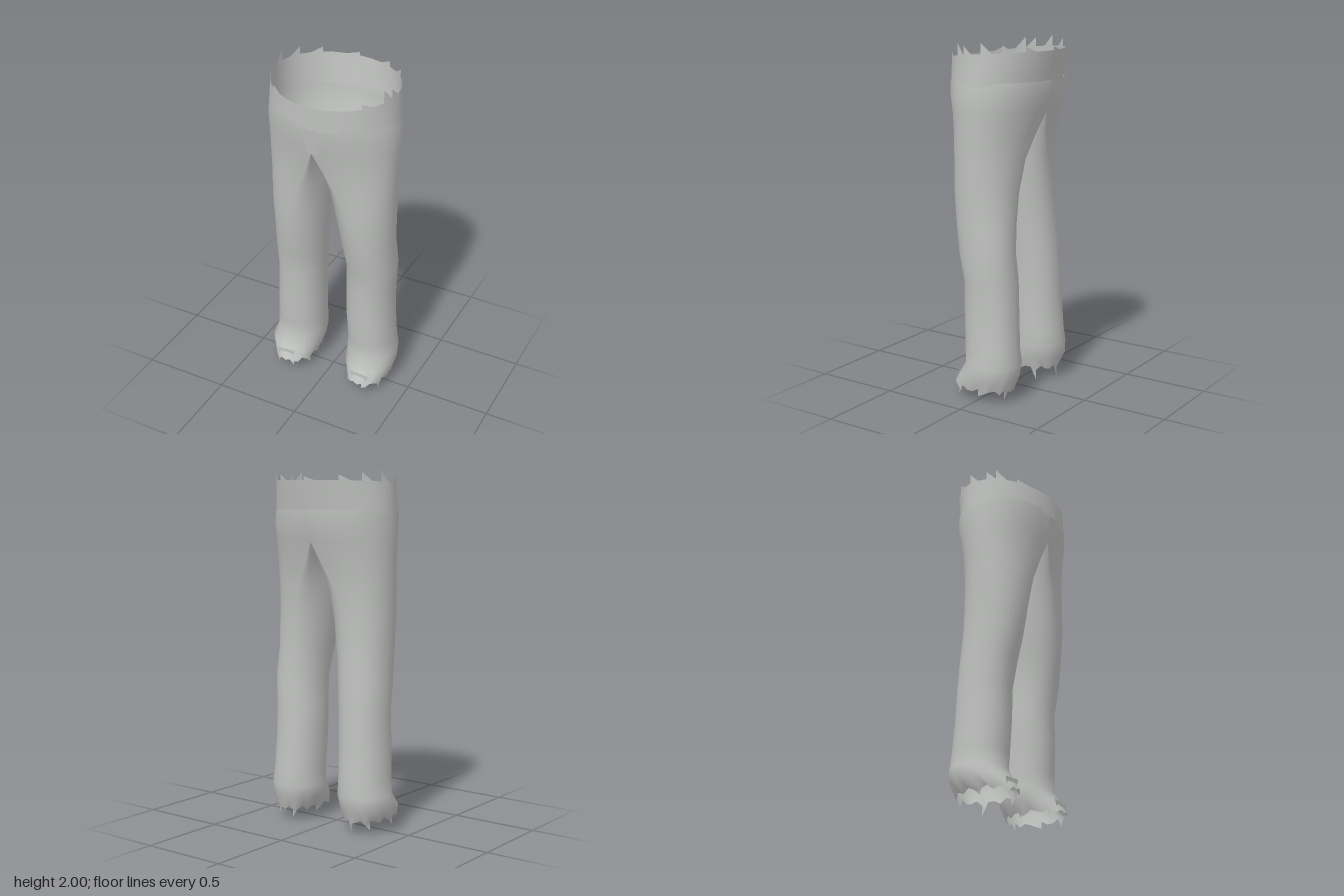
import * as THREE from 'three';

const N = 32; // columns around each ring

// Surface through rings of points, with optional torn teeth along one edge ring
function loft(rings, flip, firstFull = 0, teeth = {}, toothRing = 0, toothDir = 1) {
  const pos = rings.flat().flatMap(p => [p.x, p.y, p.z]);
  const idx = [];
  const tri = (a, b, c) => (flip ? idx.push(a, c, b) : idx.push(a, b, c));
  for (let i = 0; i < rings.length - 1; i++) {
    for (let j = 0; j < N; j++) {
      if (i < firstFull && j >= N / 2) continue; // hips are open toward the other half
      const k = (j + 1) % N;
      const a = i * N + j, b = i * N + k, c = a + N, d = b + N;
      tri(a, c, b);
      tri(b, c, d);
    }
  }
  for (const [key, h] of Object.entries(teeth)) {
    const j = Number(key), a = toothRing * N + j, b = toothRing * N + (j + 1) % N;
    const p = rings[toothRing][j];
    pos.push(p.x, p.y + toothDir * h, p.z);
    const t = pos.length / 3 - 1;
    if (toothDir > 0) tri(a, b, t); else tri(a, t, b);
  }
  const g = new THREE.BufferGeometry();
  g.setAttribute('position', new THREE.Float32BufferAttribute(pos, 3));
  g.setIndex(idx);
  g.computeVertexNormals();
  return g;
}

// Leg profile: y, front z, back z, share of the width where front and back lie
const PROFILE = [
  [1.79, 0.285, -0.265, 0], [1.71, 0.28, -0.262, 0], [1.62, 0.262, -0.24, 0],
  [1.5, 0.235, -0.205, 0.12], [1.36, 0.215, -0.175, 0.3], [1.18, 0.2, -0.16, 0.42],
  [1.0, 0.18, -0.16, 0.48], [0.84, 0.15, -0.168, 0.5], [0.68, 0.125, -0.178, 0.5],
  [0.5, 0.125, -0.183, 0.5], [0.3, 0.115, -0.195, 0.5], [0.21, 0.11, -0.205, 0.5],
  [0.14, 0.15, -0.195, 0.5], [0.07, 0.19, -0.17, 0.5],
];
const CROTCH = 2; // ring where the halves split into legs

// Inner and outer distance from the centre for each ring
const LEFT = {
  inner: [0, 0, 0, 0.015, 0.03, 0.055, 0.08, 0.1, 0.09, 0.09, 0.1, 0.09, 0.095, 0.13],
  outer: [0.378, 0.39, 0.388, 0.385, 0.38, 0.378, 0.372, 0.383, 0.37, 0.37, 0.378, 0.388, 0.39, 0.37],
};
const RIGHT = {
  inner: [0, 0, 0, 0.005, 0.012, 0.028, 0.045, 0.06, 0.075, 0.08, 0.085, 0.085, 0.09, 0.11],
  outer: [0.358, 0.362, 0.36, 0.357, 0.352, 0.35, 0.345, 0.352, 0.353, 0.36, 0.37, 0.378, 0.398, 0.355],
};

function legGeometry(side, sx, teeth) {
  const rings = PROFILE.map(([y, zf, zb, share], i) => {
    const xi = side.inner[i], xo = side.outer[i];
    const split = xi + (xo - xi) * share;
    const last = i === PROFILE.length - 1;
    return Array.from({ length: N }, (_, j) => {
      const t = (j / N) * Math.PI * 2, s = Math.sin(t), c = Math.cos(t);
      const isInner = j > N / 2;
      const reach = Math.pow(Math.abs(s), 0.92);
      const x = isInner ? split - (split - xi) * reach : split + (xo - split) * reach;
      const z = (zf + zb) / 2 + ((zf - zb) / 2) * Math.sign(c) * Math.pow(Math.abs(c), 0.95);
      let py = y;
      if (i === CROTCH && isInner) py = 1.55 + 0.07 * c * c; // saddle under the crotch
      if (last) py += 0.014 * Math.sin(j * 2.3); // uneven hem
      return new THREE.Vector3(sx * x, py, z);
    });
  });
  return loft(rings, sx < 0, CROTCH, teeth, PROFILE.length - 1, -1);
}

// Waistband rising from front to back, flaring slightly at the back
function bandGeometry() {
  const rings = [1, 0.5, 0].map(h => Array.from({ length: N }, (_, j) => {
    const t = (j / N) * Math.PI * 2, s = Math.sin(t), c = Math.cos(t);
    const top = 1.925 - 0.025 * c + 0.012 * s * s;
    const y = 1.772 + (top - 1.772) * h;
    const x = 0.01 + (0.373 - 0.013 * h) * s;
    const back = 0.258 + 0.027 * h;
    return new THREE.Vector3(x, y, c > 0 ? 0.289 * c : back * c);
  }));
  const teeth = { 4: 0.025, 6: 0.07, 7: 0.05, 9: 0.06, 11: 0.04, 13: 0.03, 16: 0.02, 19: 0.03, 21: 0.045, 23: 0.06, 25: 0.05, 26: 0.06, 28: 0.02 };
  return loft(rings, false, 0, teeth, 0, 1);
}

export function createModel() {
  const model = new THREE.Group();
  model.name = 'trousers';
  const cloth = new THREE.MeshStandardMaterial({ color: 0xbfc1bf, side: THREE.DoubleSide });
  cloth.name = 'grey cloth';
  const add = (name, geometry) => {
    const mesh = new THREE.Mesh(geometry, cloth);
    mesh.name = name;
    model.add(mesh);
    return mesh;
  };

  add('leftLeg', legGeometry(LEFT, 1, { 1: 0.03, 5: 0.03, 9: 0.04, 14: 0.05, 18: 0.04, 23: 0.03, 28: 0.045 }));
  add('rightLeg', legGeometry(RIGHT, -1, { 2: 0.03, 7: 0.035, 12: 0.05, 16: 0.045, 21: 0.055, 26: 0.04, 30: 0.03 }));
  add('waistband', bandGeometry());

  // Tapered fly flap lying on the front
  const outline = [[-0.02, 1.775], [-0.035, 1.63], [0.01, 1.615], [0.06, 1.64], [0.035, 1.72], [0.045, 1.775]];
  const fly = new THREE.ShapeGeometry(new THREE.Shape(outline.map(([x, y]) => new THREE.Vector2(x, y))));
  const p = fly.attributes.position;
  for (let i = 0; i < p.count; i++) p.setZ(i, 0.268 + (p.getY(i) - 1.62) * 0.13);
  fly.computeVertexNormals();
  add('flyFlap', fly);

  // Loose scraps folded up over each hem
  for (const [sx, cx] of [[1, 0.25], [-1, 0.24]]) {
    const scrap = new THREE.ShapeGeometry(new THREE.Shape([
      new THREE.Vector2(-0.06, 0.14), new THREE.Vector2(-0.03, 0.07),
      new THREE.Vector2(0.04, 0.06), new THREE.Vector2(0.06, 0.13),
    ]));
    const mesh = add(sx > 0 ? 'leftHemScrap' : 'rightHemScrap', scrap);
    mesh.position.set(sx * cx, 0, 0.165);
    mesh.scale.x = sx;
  }
  return model;
}
